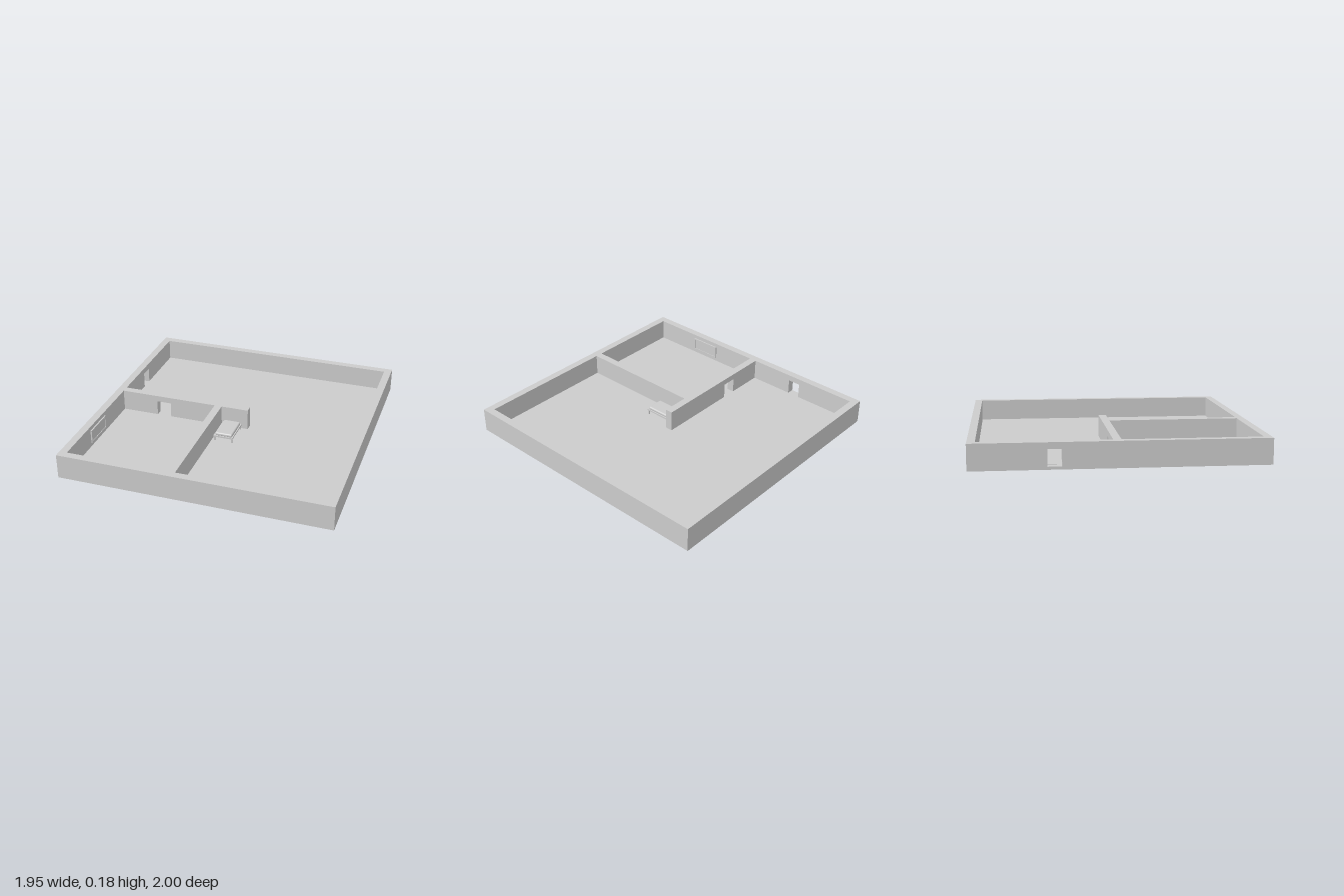
import * as THREE from 'three';
import { RoundedBoxGeometry } from 'three/addons/geometries/RoundedBoxGeometry.js';

const HEIGHT = 0.18, FLOOR = 0.02, DOOR_TOP = 0.135;
const X = 0.977, Z = 1, T = 0.055;

export function createModel() {
  const model = new THREE.Group();
  const material = new THREE.MeshStandardMaterial({ color: 0xcccccc });

  function add(name, geometry, parent = model) {
    const mesh = new THREE.Mesh(geometry, material);
    mesh.name = name;
    parent.add(mesh);
    return mesh;
  }

  function box(name, x0, x1, y0, y1, z0, z1, parent) {
    const mesh = add(name, new THREE.BoxGeometry(x1 - x0, y1 - y0, z1 - z0), parent);
    mesh.position.set((x0 + x1) / 2, (y0 + y1) / 2, (z0 + z1) / 2);
    return mesh;
  }

  function rectangle(PathType, a0, a1, y0, y1) {
    return new PathType([[a0, y0], [a1, y0], [a1, y1], [a0, y1]].map(p => new THREE.Vector2(...p)));
  }

  // Elevation of a panel with an optional opening, pushed out to its thickness
  function panel(a0, a1, y0, y1, depth, opening) {
    const shape = rectangle(THREE.Shape, a0, a1, y0, y1);
    if (opening) shape.holes.push(rectangle(THREE.Path, ...opening));
    return new THREE.ExtrudeGeometry(shape, { depth, bevelEnabled: false });
  }

  // Wall running along x, starting at depth z
  function wallX(name, x0, x1, z, door) {
    add(name, panel(x0, x1, 0, HEIGHT, T, door && [...door, FLOOR, DOOR_TOP])).position.z = z;
  }

  // Wall running along z, starting at x
  function wallZ(name, z0, z1, x, door) {
    const geometry = panel(z0, z1, 0, HEIGHT, T, door && [...door, FLOOR, DOOR_TOP]);
    add(name, geometry.rotateY(-Math.PI / 2)).position.x = x + T;
  }

  // Outer walls
  wallX('frontWall', -X, X, Z - T);
  wallX('backWall', -X, X, -Z);
  wallZ('leftWall', -Z + T, Z - T, X - T);
  wallZ('rightWall', -Z + T, Z - T, -X, [-0.485, -0.39]);

  // Partitions enclosing the small room
  wallX('hallPartition', -X + T, 0.08, -T, [-0.645, -0.535]);
  wallZ('roomPartition', 0, Z - T, -0.18);

  // Floor slab, raised slightly above the foot of the walls
  box('floor', -X + T, X - T, FLOOR - 0.004, FLOOR + 0.002, -Z + T, Z - T);

  // Framed board on the small room's side wall
  const board = new THREE.Group();
  board.name = 'wallBoard';
  model.add(board);
  const frame = panel(0.35, 0.585, 0.05, 0.15, 0.01, [0.362, 0.573, 0.062, 0.138]);
  add('boardFrame', frame.rotateY(-Math.PI / 2), board).position.x = -X + T + 0.01;
  box('boardFace', -X + T, -X + T + 0.006, 0.062, 0.138, 0.362, 0.573, board);

  // Bed against the hall partition
  const bed = new THREE.Group();
  bed.name = 'bed';
  bed.position.set(-0.037, 0, 0.12);
  model.add(bed);
  box('bedFrame', -0.073, 0.073, 0.053, 0.064, -0.11, 0.11, bed);
  const mattress = add('mattress', new RoundedBoxGeometry(0.128, 0.026, 0.205, 4, 0.011), bed);
  mattress.position.set(0.003, 0.073, 0);
  for (const sx of [-1, 1]) {
    for (const sz of [-1, 1]) {
      const leg = add('bedLeg', new THREE.CylinderGeometry(0.006, 0.006, 0.043, 12), bed);
      leg.position.set(sx * 0.066, 0.0335, sz * 0.102);
    }
  }

  return model;
}
